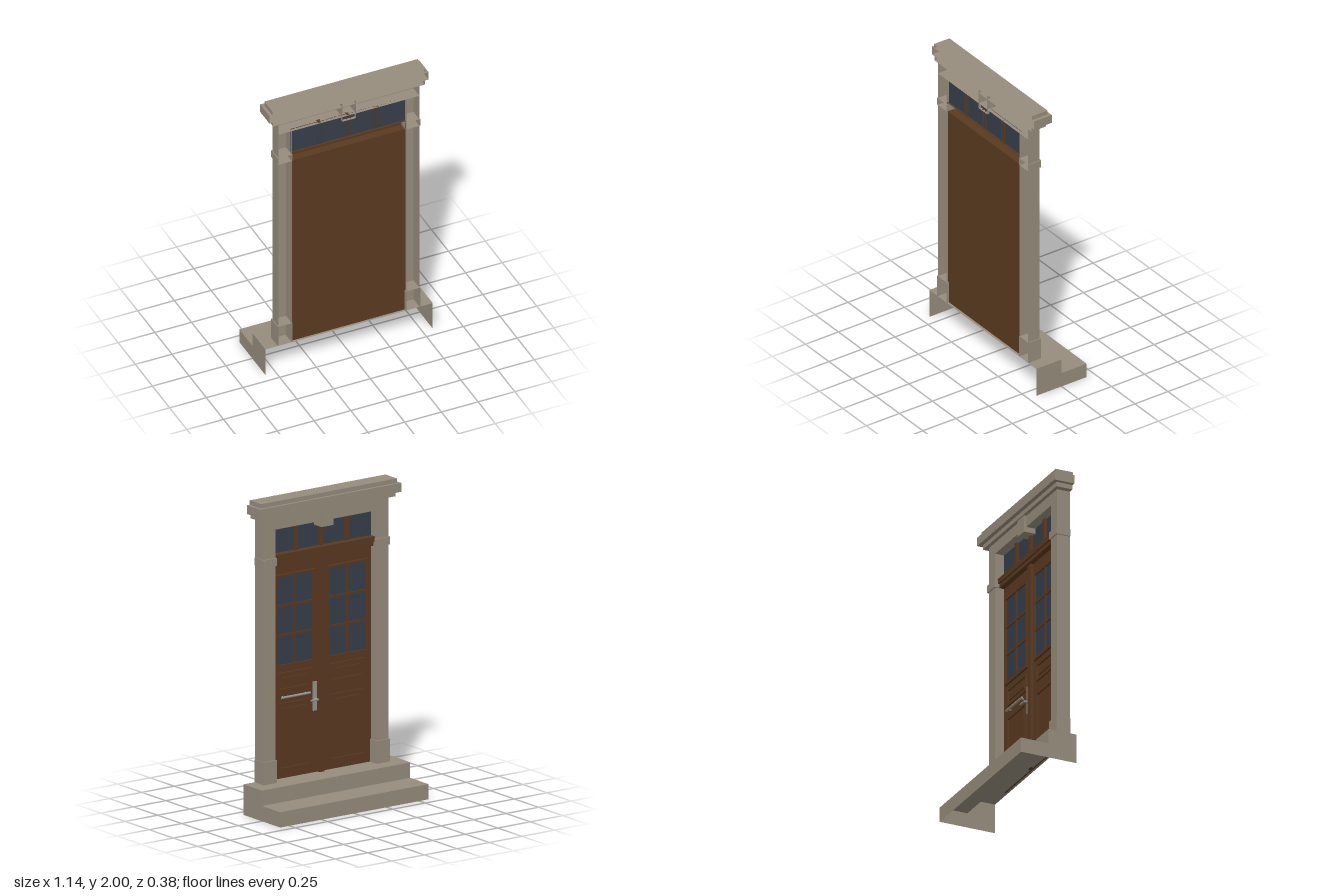
import * as THREE from 'three';

const mat = (name, color) => new THREE.MeshStandardMaterial({ name, color, side: THREE.DoubleSide });
const FACES = ['+x', '-x', '+y', '-y', '+z', '-z'];

export function createModel() {
  const model = new THREE.Group();
  model.name = 'doorway';
  const stone = mat('stone', 0x968c7c);
  const wood = mat('brown wood', 0x5a3a20);
  const glass = mat('dark glass', 0x363e4b);
  const metal = mat('grey metal', 0x96948e);
  const BACK = 0.19;

  // Box given by its limits, with the listed faces left open
  function box(name, material, [x0, x1], [y0, y1], [z0, z1], open = ['+z'], parent = model) {
    const g = new THREE.BoxGeometry(x1 - x0, y1 - y0, z1 - z0);
    const kept = [];
    FACES.forEach((f, i) => {
      if (!open.includes(f)) for (let k = 0; k < 6; k++) kept.push(g.index.getX(i * 6 + k));
    });
    g.setIndex(kept);
    g.clearGroups();
    g.translate((x0 + x1) / 2, (y0 + y1) / 2, (z0 + z1) / 2);
    const m = new THREE.Mesh(g, material);
    m.name = name;
    parent.add(m);
    return m;
  }

  // Hollow steps, open below and behind
  box('lowerStep', stone, [-0.57, 0.57], [0, 0.097], [-0.19, BACK], ['+z', '-y', '+y']);
  box('lowerTread', stone, [-0.57, 0.57], [0, 0.097], [-0.19, 0], ['+x', '-x', '-y', '+z', '-z']);
  box('upperStep', stone, [-0.57, 0.57], [0.097, 0.195], [0, BACK], ['+z', '-y']);

  // Pilasters with plinths and capitals
  for (const s of [-1, 1]) {
    const span = (a, b) => (s > 0 ? [a, b] : [-b, -a]);
    box('pilaster', stone, span(0.39, 0.48), [0.195, 1.81], [0.103, BACK], ['+z', '+y', '-y']);
    box('plinth', stone, span(0.384, 0.486), [0.195, 0.34], [0.094, BACK]);
    box('capital', stone, span(0.384, 0.486), [1.58, 1.63], [0.095, BACK]);
  }

  // Lintel, keystone and stepped cornice
  box('lintel', stone, [-0.48, 0.48], [1.81, 1.885], [0.103, BACK], ['+z', '+y']);
  box('keystone', stone, [-0.046, 0.046], [1.775, 1.91], [0.088, BACK]);
  box('corniceLower', stone, [-0.517, 0.517], [1.885, 1.915], [0.08, BACK]);
  box('corniceMiddle', stone, [-0.542, 0.542], [1.915, 1.972], [0.054, BACK]);
  box('corniceTop', stone, [-0.522, 0.522], [1.972, 2], [0.072, BACK]);

  // Fanlight over the door
  box('fanlightGlass', glass, [-0.39, 0.39], [1.64, 1.81], [0.165, 0.171], []);
  for (const x of [-0.195, 0, 0.195])
    box('fanlightMullion', wood, [x - 0.013, x + 0.013], [1.64, 1.81], [0.147, 0.183]);
  box('transomBar', wood, [-0.39, 0.39], [1.58, 1.64], [0.13, 0.183]);
  box('transomMoulding', wood, [-0.39, 0.39], [1.605, 1.64], [0.12, 0.13]);

  // Door slab and cover strip where the leaves meet
  const FACE = 0.165;
  box('doorSlab', wood, [-0.39, 0.39], [0.195, 1.58], [FACE, 0.175], []);
  box('meetingStrip', wood, [-0.02, 0.02], [0.195, 1.58], [0.145, FACE]);

  // Rectangular moulding made of four bars
  function moulding(name, [x0, x1], [y0, y1], w, depth) {
    const z = [FACE - depth, FACE];
    box(name, wood, [x0, x0 + w], [y0, y1], z);
    box(name, wood, [x1 - w, x1], [y0, y1], z);
    box(name, wood, [x0 + w, x1 - w], [y0, y0 + w], z);
    box(name, wood, [x0 + w, x1 - w], [y1 - w, y1], z);
  }

  // Each leaf: six-pane window above two panels
  for (const s of [-1, 1]) {
    const c = s * 0.203;
    const wx = [c - 0.142, c + 0.142], wy = [0.92, 1.485];
    box('windowGlass', glass, wx, wy, [FACE - 0.004, FACE]);
    moulding('windowFrame', [wx[0] - 0.014, wx[1] + 0.014], [wy[0] - 0.014, wy[1] + 0.014], 0.016, 0.014);
    box('windowMuntin', wood, [c - 0.008, c + 0.008], wy, [FACE - 0.011, FACE]);
    for (const t of [1, 2]) {
      const y = wy[0] + (wy[1] - wy[0]) * t / 3;
      box('windowMuntin', wood, wx, [y - 0.008, y + 0.008], [FACE - 0.011, FACE]);
    }
    for (const [y0, y1] of [[0.755, 0.87], [0.25, 0.675]]) {
      moulding('panelMoulding', [c - 0.132, c + 0.132], [y0, y1], 0.013, 0.01);
      box('raisedPanel', wood, [c - 0.1, c + 0.1], [y0 + 0.034, y1 - 0.034], [FACE - 0.008, FACE]);
    }
  }

  // Pull bar and lever handle on one leaf
  function rod(name, r, length, axis, x, y, z) {
    const m = new THREE.Mesh(new THREE.CylinderGeometry(r, r, length, 12), metal);
    m.name = name;
    if (axis === 'x') m.rotation.z = Math.PI / 2;
    if (axis === 'z') m.rotation.x = Math.PI / 2;
    m.position.set(x, y, z);
    model.add(m);
  }
  rod('pullBar', 0.008, 0.22, 'x', 0.203, 0.715, 0.142);
  for (const x of [0.115, 0.291]) rod('pullBarMount', 0.005, 0.024, 'z', x, 0.715, 0.154);
  box('handlePlate', metal, [0.031, 0.059], [0.59, 0.775], [0.157, FACE], []);
  rod('handleStub', 0.008, 0.03, 'z', 0.045, 0.665, 0.144);
  rod('handleLever', 0.006, 0.06, 'x', 0.065, 0.665, 0.132);

  return model;
}
